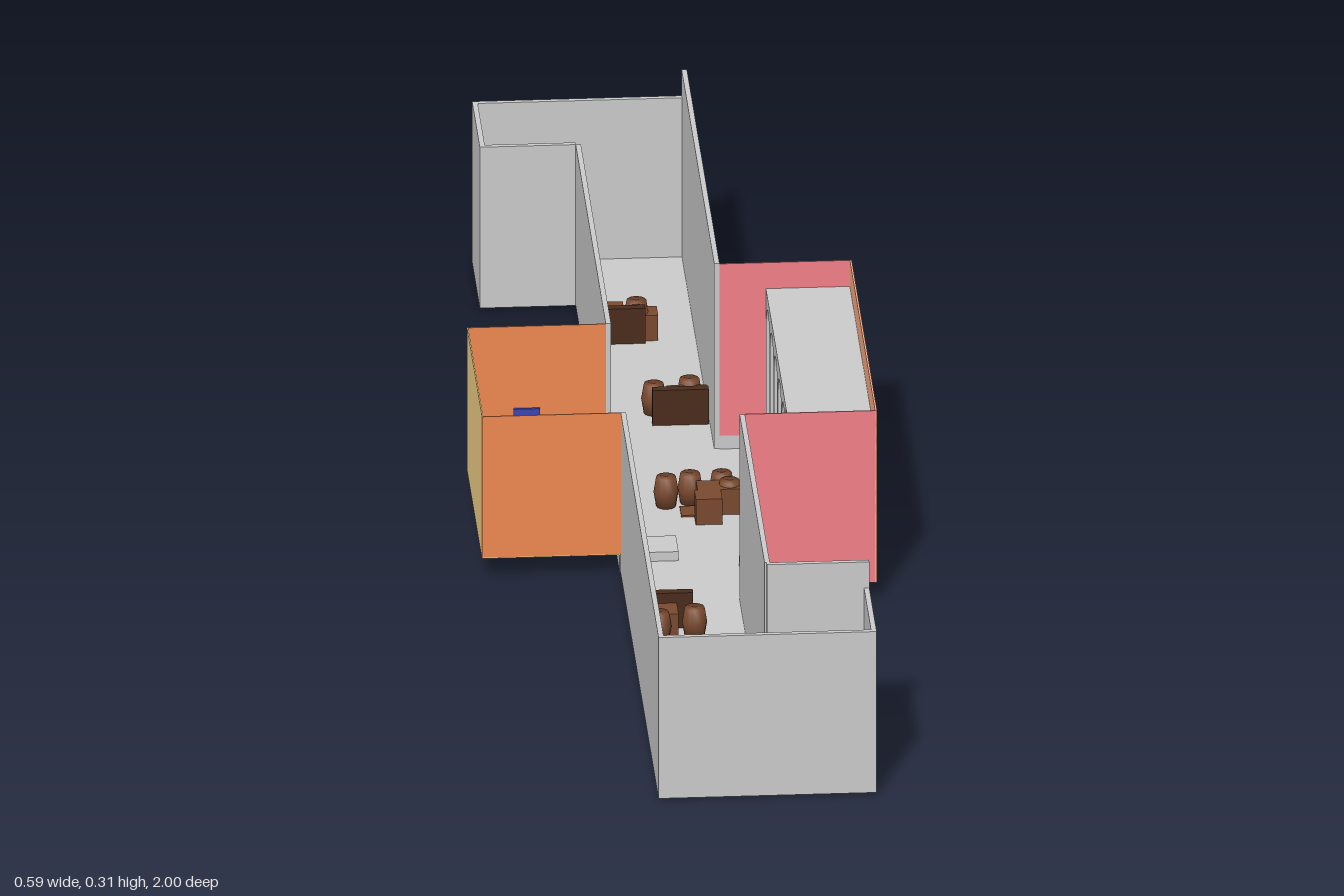
import * as THREE from 'three';

const mat = (color) => new THREE.MeshStandardMaterial({ color, side: THREE.DoubleSide });

export function createModel() {
  const model = new THREE.Group();
  const grey = mat(0xcccccc), orange = mat(0xf08850), tan = mat(0xf5d488), pink = mat(0xf58088);
  const peach = mat(0xf8ab84), wood = mat(0x7a4a30), darkWood = mat(0x4a2c1c), blue = mat(0x3c46b0);
  const T = 0.008, FLOOR = 0.007, RAISED = 0.037, LOW = 0.27, HIGH = 0.313;

  // Box given by its extents
  const box = (name, material, x0, x1, y0, y1, z0, z1) => {
    const m = new THREE.Mesh(new THREE.BoxGeometry(x1 - x0, y1 - y0, z1 - z0), material);
    m.position.set((x0 + x1) / 2, (y0 + y1) / 2, (z0 + z1) / 2);
    m.name = name;
    model.add(m);
    return m;
  };

  // Corridor floor with its two hooked ends and the strip before the arcade
  box('corridorFloor', grey, -0.085, 0.095, 0.004, FLOOR, -1, 1);
  box('frontHookFloor', grey, 0.095, 0.245, 0.004, FLOOR, 0.83, 1);
  box('backHookFloor', grey, -0.23, -0.085, 0.004, FLOOR, -1, -0.83);
  box('arcadeFloor', grey, 0.095, 0.165, 0.004, FLOOR, -0.28, 0.28);

  // Low walls along the left side and both ends
  box('leftFrontWall', grey, -0.085, -0.085 + T, FLOOR, LOW, 0.165, 1);
  box('leftBackWall', grey, -0.085, -0.085 + T, FLOOR, LOW, -0.83, -0.165);
  box('frontEndWall', grey, -0.085, 0.245, FLOOR, LOW, 1 - T, 1);
  box('frontHookSideWall', grey, 0.245 - T, 0.245, FLOOR, LOW, 0.83, 1);
  box('backEndWall', grey, -0.23, 0.095, FLOOR, LOW, -1, -1 + T);
  box('backHookSideWall', grey, -0.23, -0.23 + T, FLOOR, LOW, -1, -0.83);
  box('backHookInnerWall', grey, -0.23, -0.085, FLOOR, LOW, -0.83 - T, -0.83);

  // Tall walls along the right side
  box('frontHookInnerWall', grey, 0.09, 0.245, FLOOR, HIGH, 0.83, 0.83 + T);
  box('rightFrontWall', grey, 0.095 - T, 0.095, FLOOR, HIGH, 0.28, 0.83);
  box('rightBackWall', grey, 0.095 - T, 0.095, FLOOR, HIGH, -1, -0.28);

  // Raised side room on the left
  box('sideRoomFloor', tan, -0.295, -0.085, RAISED - 0.002, RAISED, -0.165, 0.165);
  box('sideRoomRiser', grey, -0.087, -0.085, FLOOR, RAISED - 0.002, -0.165, 0.165);
  box('sideRoomOuterWall', tan, -0.295, -0.293, RAISED, LOW, -0.165, 0.165);
  for (const s of [-1, 1])
    box('sideRoomEndWall', orange, -0.295, -0.085, RAISED, LOW, s * 0.165 - 0.001, s * 0.165 + 0.001);
  box('sideRoomPanel', blue, -0.225, -0.185, 0.075, 0.135, -0.164, -0.16);
  box('sideRoomStep', grey, -0.085, 0.005, 0, 0.022, 0.07, 0.13);

  // Raised gallery on the right, with its roof slab below the wall tops
  box('galleryFloor', grey, 0.165, 0.293, RAISED - 0.002, RAISED, -0.278, 0.278);
  box('galleryRiser', grey, 0.163, 0.165, FLOOR, RAISED, -0.28, 0.28);
  box('galleryOuterWall', peach, 0.292, 0.295, 0.029, HIGH, -0.28, 0.28);
  box('galleryRoof', grey, 0.165, 0.292, LOW - 0.004, LOW, -0.278, 0.278);
  for (const s of [-1, 1]) {
    box('galleryEndWall', pink, 0.095, 0.295, 0.029, HIGH, s * 0.279 - 0.001, s * 0.279 + 0.001);
    box('galleryEndRiser', grey, 0.095, 0.165, FLOOR, 0.029, s * 0.279 - 0.001, s * 0.279 + 0.001);
  }
  box('galleryStep', grey, 0.095, 0.165, 0, 0.022, 0.15, 0.278);
  box('galleryPanel', blue, 0.288, 0.292, 0.075, 0.135, 0.21, 0.25);
  box('galleryCounter', darkWood, 0.215, 0.245, 0.03, 0.15, -0.2, 0.14);

  // Arcade: a thin wall pierced by round arches
  const arcade = new THREE.Shape();
  arcade.moveTo(-0.278, RAISED).lineTo(0.15, RAISED).lineTo(0.15, LOW - 0.004).lineTo(-0.278, LOW - 0.004).closePath();
  const pitch = 0.428 / 5, r = 0.036;
  for (let i = 0; i < 5; i++) {
    const c = -0.278 + (i + 0.5) * pitch;
    const arch = new THREE.Path();
    arch.moveTo(c - r, RAISED + 0.001).lineTo(c + r, RAISED + 0.001).lineTo(c + r, 0.215);
    arch.absarc(c, 0.215, r, 0, Math.PI, false);
    arch.closePath();
    arcade.holes.push(arch);
  }
  const arcadeGeo = new THREE.ExtrudeGeometry(arcade, { depth: 0.006, bevelEnabled: false, curveSegments: 8 });
  arcadeGeo.rotateY(-Math.PI / 2);
  const arcadeWall = new THREE.Mesh(arcadeGeo, grey);
  arcadeWall.name = 'arcadeWall';
  arcadeWall.position.x = 0.171;
  model.add(arcadeWall);

  // Barrels, as [x, z, base height]
  const barrelGeo = new THREE.LatheGeometry(
    [[0, 0], [0.015, 0], [0.019, 0.024], [0.015, 0.048], [0, 0.048]].map(([x, y]) => new THREE.Vector2(x, y)), 12);
  const barrels = [
    [0, -0.73], [0, -0.7], [0.005, -0.42], [0.06, -0.435],
    [0, -0.075], [0.037, -0.085], [0.085, -0.085], [0.095, -0.055],
    [-0.045, 0.425], [0.01, 0.41], [0.015, 0.67], [0.01, 0.7],
    [-0.145, -0.08, RAISED], [-0.107, -0.08, RAISED], [-0.107, -0.042, RAISED],
  ];
  for (const [x, z, y = FLOOR] of barrels) {
    const barrel = new THREE.Mesh(barrelGeo, wood);
    barrel.name = 'barrel';
    barrel.position.set(x, y, z);
    model.add(barrel);
  }

  // Crates, as [x0, x1, z0, z1, base height]
  const crates = [
    [-0.075, -0.02, -0.74, -0.705], [-0.02, 0.03, -0.72, -0.685], [0.025, 0.085, -0.425, -0.39],
    [0.045, 0.115, -0.07, -0.035], [0.04, 0.08, -0.035, 0], [-0.07, -0.015, 0.38, 0.42],
    [0.03, 0.085, 0.665, 0.7], [-0.02, 0.01, 0.65, 0.67],
    [-0.12, -0.087, -0.155, -0.105, RAISED], [-0.12, -0.087, -0.02, 0.025, RAISED],
  ];
  for (const [x0, x1, z0, z1, y = FLOOR] of crates) box('crate', wood, x0, x1, y, y + 0.042, z0, z1);
  box('crateBase', wood, 0.02, 0.07, 0, 0.01, -0.065, -0.03);

  // Upright plank barricades
  for (const [x, z] of [[-0.075, -0.69], [0, -0.385], [-0.075, 0.365], [0, 0.64]])
    box('barricade', darkWood, x, x + 0.085, FLOOR, 0.065, z, z + 0.014);
  box('doorPost', darkWood, -0.087, -0.079, FLOOR, 0.08, 0.04, 0.068);

  return model;
}
